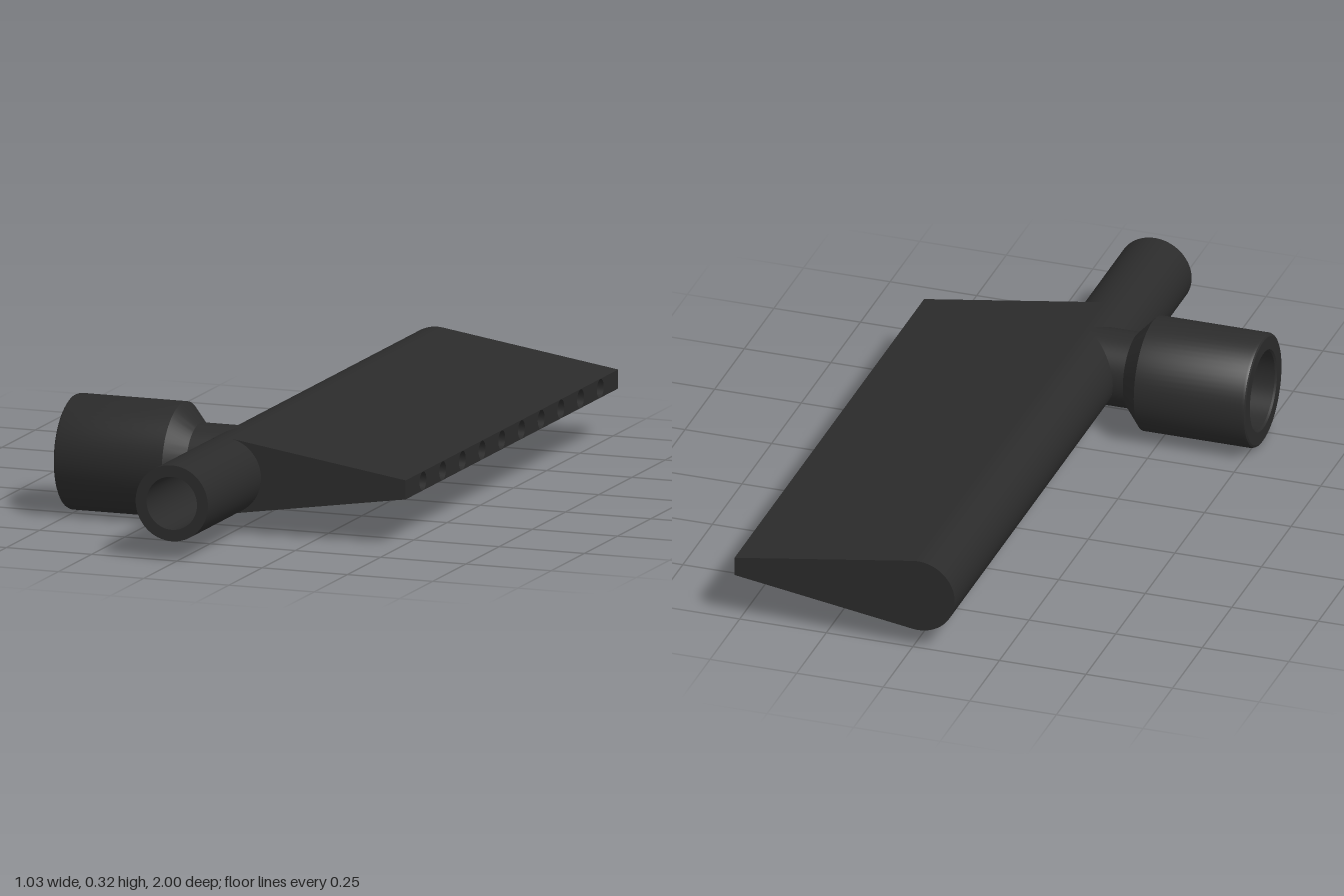
import * as THREE from 'three';
import { ParametricGeometry } from 'three/addons/geometries/ParametricGeometry.js';
import { toCreasedNormals } from 'three/addons/utils/BufferGeometryUtils.js';

const CX = -0.015, CY = 0.163;            // axis of the long tube
const R = 0.106, BORE = 0.074;            // outer and inner tube radius
const SOCKET_Z = 0.44, NECK_X = -0.15;    // side socket axis and neck start
const BACK = -1, BODY_FRONT = 0.6, FRONT = 1;
const EDGE_X = 0.515, EDGE_H = 0.0265;    // thin outlet edge
const TANGENT = Math.PI / 2 - 0.151;      // where the wedge leaves the tube
const HOLE_R = 0.026, STRIP_H = 0.03;
const HOLES = Array.from({ length: 10 }, (_, i) => 0.47 - i * 0.1483);

export function createModel() {
  const group = new THREE.Group();
  const material = new THREE.MeshStandardMaterial({ color: 0x2b2b2b, side: THREE.DoubleSide });

  const add = (name, geometry) => {
    const mesh = new THREE.Mesh(geometry, material);
    mesh.name = name;
    group.add(mesh);
    return mesh;
  };

  // Straight surface between two curves a(t) and b(t)
  const ruled = (name, a, b, n) =>
    add(name, new ParametricGeometry((u, v, out) => out.lerpVectors(a(u), b(u), v), n, 1));

  // Tube wall over an angle range, from z0(angle) to z1(angle)
  const wall = (name, r, from, z0, z1) => {
    const curve = (z) => (t) => {
      const a = from + t * (2 * Math.PI - 2 * from);
      return new THREE.Vector3(CX + r * Math.cos(a), CY + r * Math.sin(a), z(a));
    };
    ruled(name, curve(z0), curve(z1), 64);
  };
  const at = (z) => () => z;
  // Mitre line where the equally thick neck meets the tube
  const mitre = (r, side) => (a) => SOCKET_Z + side * r * Math.max(0, -Math.cos(a));

  // Tube outside
  wall('bodyBackWall', R, TANGENT, at(BACK), mitre(R, -1));
  wall('bodyFrontWall', R, TANGENT, mitre(R, 1), at(BODY_FRONT));
  wall('inletTube', R, 0, at(BODY_FRONT), at(FRONT));
  add('inletRim', new THREE.RingGeometry(BORE, R, 64)).position.set(CX, CY, FRONT);

  // Tube inside, with a flat strip where the outlet channels begin
  const gap = Math.asin(STRIP_H / BORE);
  const stripX = CX + BORE * Math.cos(gap);
  const boreEnd = -0.95;
  wall('boreBackWall', BORE, gap, mitre(BORE, -1), at(boreEnd));
  wall('boreFrontWall', BORE, gap, at(BODY_FRONT), mitre(BORE, 1));
  wall('inletBore', BORE, 0, at(FRONT), at(BODY_FRONT));
  add('boreEnd', new THREE.CircleGeometry(BORE, 48)).position.set(CX, CY, boreEnd);

  // Wedge slopes
  const tx = CX + R * Math.cos(TANGENT), ty = R * Math.sin(TANGENT);
  const slope = (name, p, q) => {
    const line = (z) => (t) =>
      new THREE.Vector3(p[0] + (q[0] - p[0]) * t, p[1] + (q[1] - p[1]) * t, z);
    ruled(name, line(BACK), line(BODY_FRONT), 1);
  };
  slope('wedgeTop', [EDGE_X, CY + EDGE_H], [tx, CY + ty]);
  slope('wedgeBottom', [tx, CY - ty], [EDGE_X, CY - EDGE_H]);

  // Wedge end faces
  const endFace = (name, z, clockwise) => {
    const shape = new THREE.Shape();
    shape.moveTo(tx, CY - ty);
    shape.lineTo(EDGE_X, CY - EDGE_H);
    shape.lineTo(EDGE_X, CY + EDGE_H);
    shape.lineTo(tx, CY + ty);
    shape.absarc(CX, CY, R, TANGENT, clockwise ? -TANGENT : 2 * Math.PI - TANGENT, clockwise);
    return add(name, new THREE.ShapeGeometry(shape, 48).translate(0, 0, z));
  };
  endFace('wedgeFrontFace', BODY_FRONT, true);
  endFace('bodyBackFace', BACK, false);

  // Perforated strips at both ends of the outlet channels
  const strip = (name, x, h, back) => {
    const shape = new THREE.Shape([
      [-BODY_FRONT, -h], [-back, -h], [-back, h], [-BODY_FRONT, h],
    ].map(([s, y]) => new THREE.Vector2(s, y)));
    for (const z of HOLES) {
      shape.holes.push(new THREE.Path().absarc(-z, 0, HOLE_R, 0, 2 * Math.PI, true));
    }
    add(name, new THREE.ShapeGeometry(shape, 12).rotateY(Math.PI / 2).translate(x, CY, 0));
  };
  strip('outletEdge', EDGE_X, EDGE_H, BACK);
  strip('boreStrip', stripX, STRIP_H, boreEnd);

  // Outlet channels
  const length = EDGE_X - stripX;
  const channel = new THREE.CylinderGeometry(HOLE_R, HOLE_R, length, 24, 1, true).rotateZ(Math.PI / 2);
  for (const z of HOLES) {
    add('outletChannel', channel).position.set(stripX + length / 2, CY, z);
  }

  // Neck of the side socket, mitred into the tube
  const neckEnd = (r, x) => (t) => {
    const b = t * 2 * Math.PI;
    const dz = r * Math.cos(b);
    return new THREE.Vector3(x ?? CX - Math.abs(dz), CY + r * Math.sin(b), SOCKET_Z + dz);
  };
  ruled('neck', neckEnd(R), neckEnd(R, NECK_X), 64);
  ruled('neckBore', neckEnd(BORE, NECK_X), neckEnd(BORE), 64);

  // Side socket with stepped bore and rounded rim
  const profile = [
    [BORE, NECK_X], [BORE, -0.17], [0.11, -0.21], [0.11, -0.515], [0.115, -0.52],
    [0.152, -0.52], [0.157, -0.517], [0.16, -0.51], [0.16, -0.2], [R, NECK_X],
  ].map(([r, x]) => new THREE.Vector2(r, x));
  const socket = toCreasedNormals(new THREE.LatheGeometry(profile, 64), 0.5);
  add('socket', socket.rotateZ(-Math.PI / 2).translate(0, CY, SOCKET_Z));

  return group;
}
